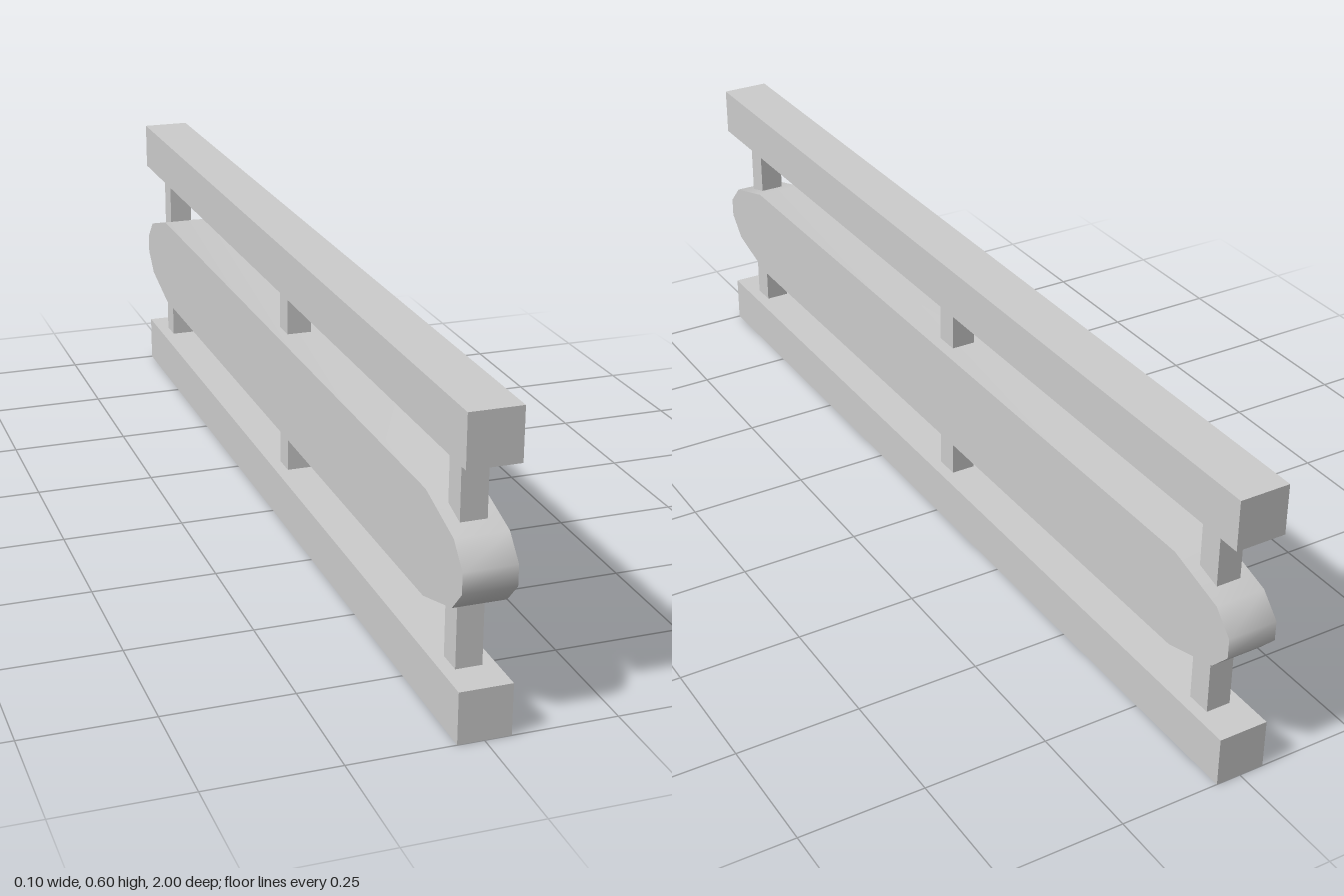
import * as THREE from 'three';
import { toCreasedNormals } from 'three/addons/utils/BufferGeometryUtils.js';

export function createModel() {
  const model = new THREE.Group();
  model.name = 'railing';
  const material = new THREE.MeshStandardMaterial({ color: 0xcccccc });

  const add = (name, geometry, y, z = 0) => {
    const mesh = new THREE.Mesh(geometry, material);
    mesh.name = name;
    mesh.position.set(0, y, z);
    model.add(mesh);
  };

  // Long square rails
  const rail = new THREE.BoxGeometry(0.1, 0.1, 2);
  add('bottomRail', rail, 0.05);
  add('topRail', rail, 0.55);

  // Short posts between rails and board, sunk into the board
  const post = new THREE.BoxGeometry(0.05, 0.2, 0.05);
  for (const z of [-0.9, 0, 0.9]) {
    add('lowerPost', post, 0.2, z);
    add('upperPost', post, 0.4, z);
  }

  // Middle board with rounded ends: one quarter outline, mirrored
  const quarter = [[1, 0.02], [0.96, 0.063], [0.835, 0.1]];
  const half = [...quarter, ...quarter.map(([z, y]) => [-z, y]).reverse()];
  const outline = [...half, ...half.map(([z, y]) => [z, -y]).reverse()];
  const shape = new THREE.Shape(outline.map(([z, y]) => new THREE.Vector2(z, y)));
  const board = new THREE.ExtrudeGeometry(shape, { depth: 0.1, bevelEnabled: false });
  board.translate(0, 0, -0.05);
  board.rotateY(-Math.PI / 2);
  add('middleBoard', toCreasedNormals(board, 0.9), 0.3);

  return model;
}
